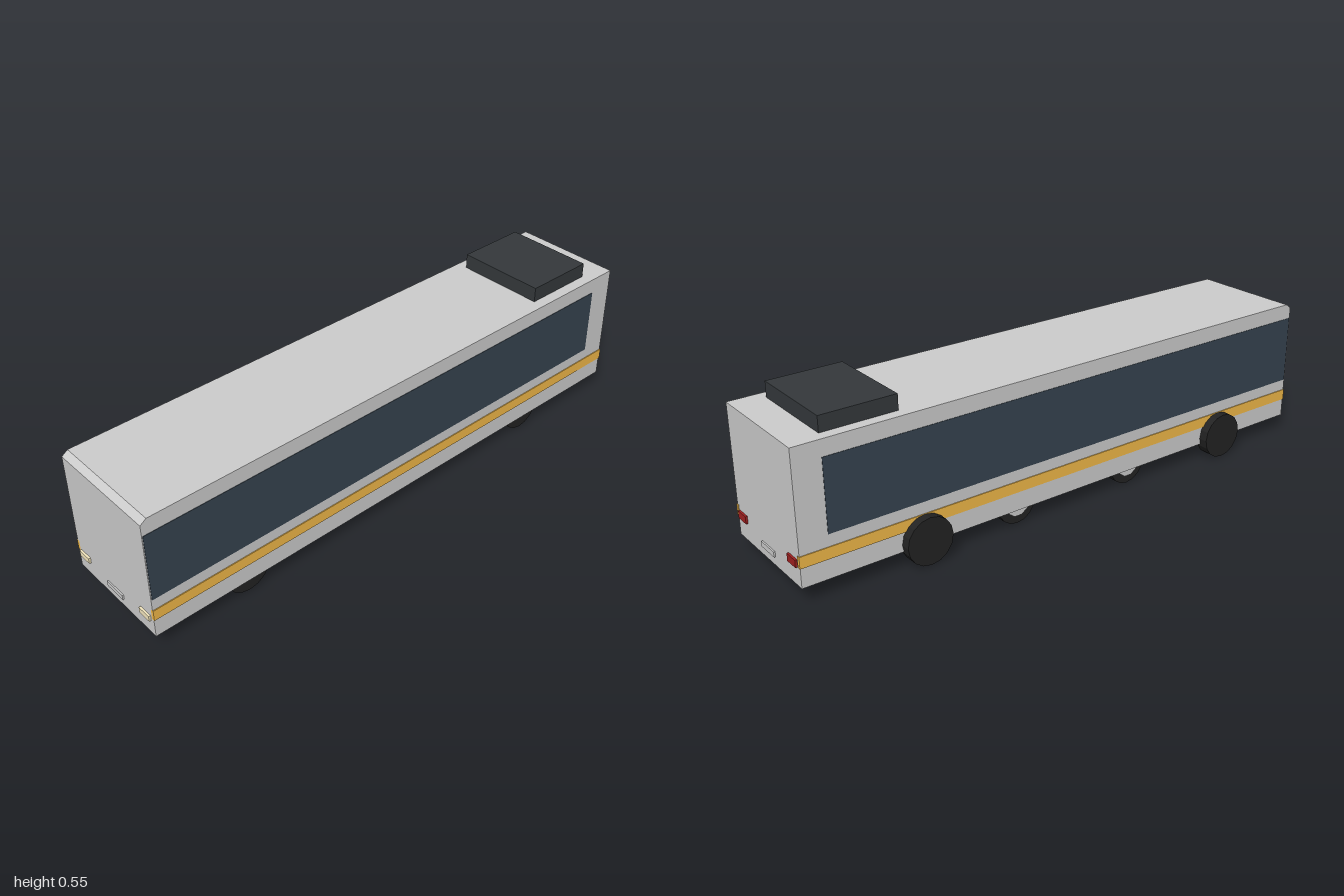
import * as THREE from 'three';

const CX = 0.014; // body centreline

const mat = (color) => new THREE.MeshStandardMaterial({ color, flatShading: true });

export function createModel() {
  const bus = new THREE.Group();
  bus.name = 'bus';
  const grey = mat(0xcccccc), glass = mat(0x36434f), amber = mat(0xf0b848), dark = mat(0x34383b);
  const rubber = mat(0x222222), lamp = mat(0xf5e8c0), red = mat(0xa02020);

  const add = (name, geometry, material, parent = bus) => {
    const mesh = new THREE.Mesh(geometry, material);
    mesh.name = name;
    parent.add(mesh);
    return mesh;
  };
  // Box given by its limits on each axis
  const box = (name, material, [x0, x1], [y0, y1], [z0, z1]) => {
    const mesh = add(name, new THREE.BoxGeometry(x1 - x0, y1 - y0, z1 - z0), material);
    mesh.position.set((x0 + x1) / 2, (y0 + y1) / 2, (z0 + z1) / 2);
    return mesh;
  };

  // Body: side outline with a chamfered front roof edge, extruded across
  const outline = new THREE.Shape();
  outline.moveTo(-0.993, 0.057);
  outline.lineTo(0.993, 0.057);
  outline.lineTo(0.993, 0.478);
  outline.lineTo(0.972, 0.493);
  outline.lineTo(-0.993, 0.493);
  outline.closePath();
  const bodyGeometry = new THREE.ExtrudeGeometry(outline, { depth: 0.398, bevelEnabled: false });
  bodyGeometry.rotateY(-Math.PI / 2);
  bodyGeometry.translate(CX + 0.199, 0, 0);
  add('body', bodyGeometry, grey);

  // Roof unit and underfloor plate
  box('roofUnit', dark, [-0.147, 0.173], [0.49, 0.545], [-0.885, -0.63]);
  box('underfloorPlate', grey, [-0.137, 0.165], [0.042, 0.06], [-0.42, 0.425]);

  // Side windows and stripes, mirrored about the body
  for (const s of [-1, 1]) {
    const side = s > 0 ? 'left' : 'right';
    const span = (a, b) => [CX + s * a, CX + s * b].sort((p, q) => p - q);
    box(side + 'Window', glass, span(0.19, 0.2005), [0.2, 0.439], [-0.9, 0.99]);
    box(side + 'Stripe', amber, span(0.19, 0.202), [0.122, 0.16], [-0.995, 0.993]);
    box(side + 'Headlight', lamp, span(0.134, 0.184), [0.11, 0.13], [0.985, 1]);
    box(side + 'TailLight', red, span(0.134, 0.184), [0.12, 0.145], [-1, -0.985]);
  }

  // Number plate holders
  box('frontPlate', grey, [-0.027, 0.054], [0.087, 0.105], [0.985, 0.998]);
  box('rearPlate', grey, [-0.027, 0.054], [0.087, 0.105], [-0.998, -0.985]);

  // Wheels: tyre with an optional pale hub on its outer face
  const wheel = (name, x0, x1, y, z, radius, hubSide) => {
    const group = new THREE.Group();
    group.name = name;
    group.position.set((x0 + x1) / 2, y, z);
    const tyre = add('tyre', new THREE.CylinderGeometry(radius, radius, x1 - x0, 16), rubber, group);
    tyre.rotation.z = Math.PI / 2;
    if (hubSide) {
      const hub = add('hub', new THREE.CylinderGeometry(0.045, 0.045, 0.012, 10), grey, group);
      hub.rotation.z = Math.PI / 2;
      hub.position.x = hubSide * (x1 - x0) / 2;
    }
    bus.add(group);
  };
  for (const z of [0.645, -0.583]) {
    wheel('rightWheel', -0.217, -0.17, 0.08, z, 0.08, 0);
    wheel('leftWheel', 0.15, 0.197, 0.08, z, 0.08, 0);
  }
  for (const z of [0.235, -0.23]) {
    wheel('rightInnerWheel', -0.17, -0.118, 0.075, z, 0.072, -1);
    wheel('leftInnerWheel', 0.11, 0.167, 0.075, z, 0.072, 1);
  }
  return bus;
}
